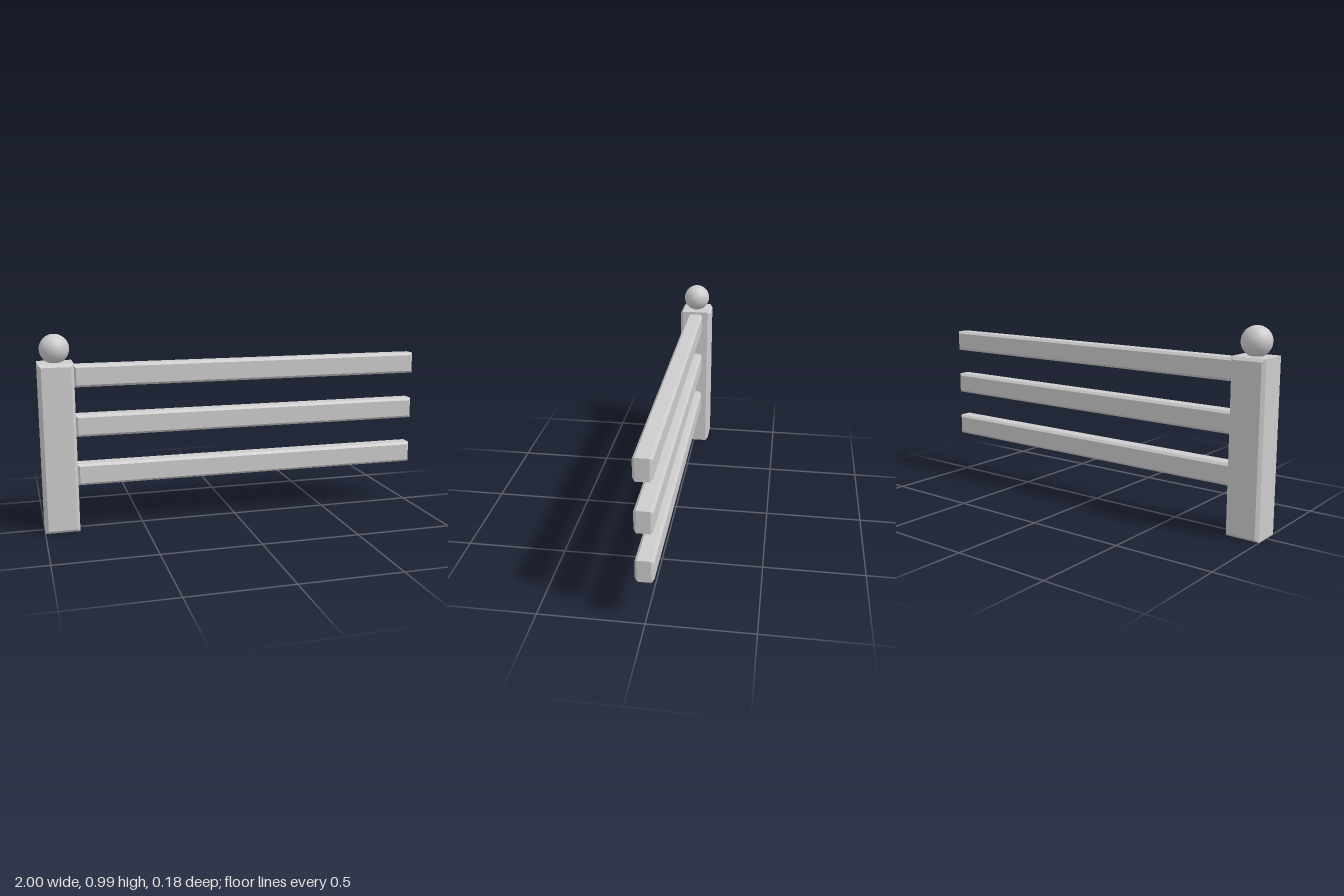
import * as THREE from 'three';

const grey = new THREE.MeshStandardMaterial({ color: 0xcccccc });
grey.name = 'light grey';

// Rectangular beam whose front and back faces have chamfered edges
function beam(name, x0, x1, y0, y1, depth, bevel) {
  const shape = new THREE.Shape([
    new THREE.Vector2(x0 + bevel, y0 + bevel),
    new THREE.Vector2(x1 - bevel, y0 + bevel),
    new THREE.Vector2(x1 - bevel, y1 - bevel),
    new THREE.Vector2(x0 + bevel, y1 - bevel),
  ]);
  const geometry = new THREE.ExtrudeGeometry(shape, {
    depth: depth - 2 * bevel,
    bevelEnabled: true,
    bevelSegments: 1,
    bevelSize: bevel,
    bevelThickness: bevel,
  });
  geometry.translate(0, 0, bevel - depth / 2);
  const mesh = new THREE.Mesh(geometry, grey);
  mesh.name = name;
  return mesh;
}

export function createModel() {
  const fence = new THREE.Group();
  fence.name = 'fenceSection';

  // Post
  fence.add(beam('post', -1, -0.828, 0, 0.852, 0.176, 0.015));

  // Ball finial resting on the post
  const ball = new THREE.Mesh(new THREE.SphereGeometry(0.073, 24, 16), grey);
  ball.name = 'ballFinial';
  ball.position.set(-0.914, 0.918, 0);
  fence.add(ball);

  // Three evenly spaced rails
  ['lowerRail', 'middleRail', 'upperRail'].forEach((name, i) => {
    const y = 0.228 + i * 0.25;
    fence.add(beam(name, -0.828, 1, y, y + 0.11, 0.087, 0.012));
  });

  return fence;
}
